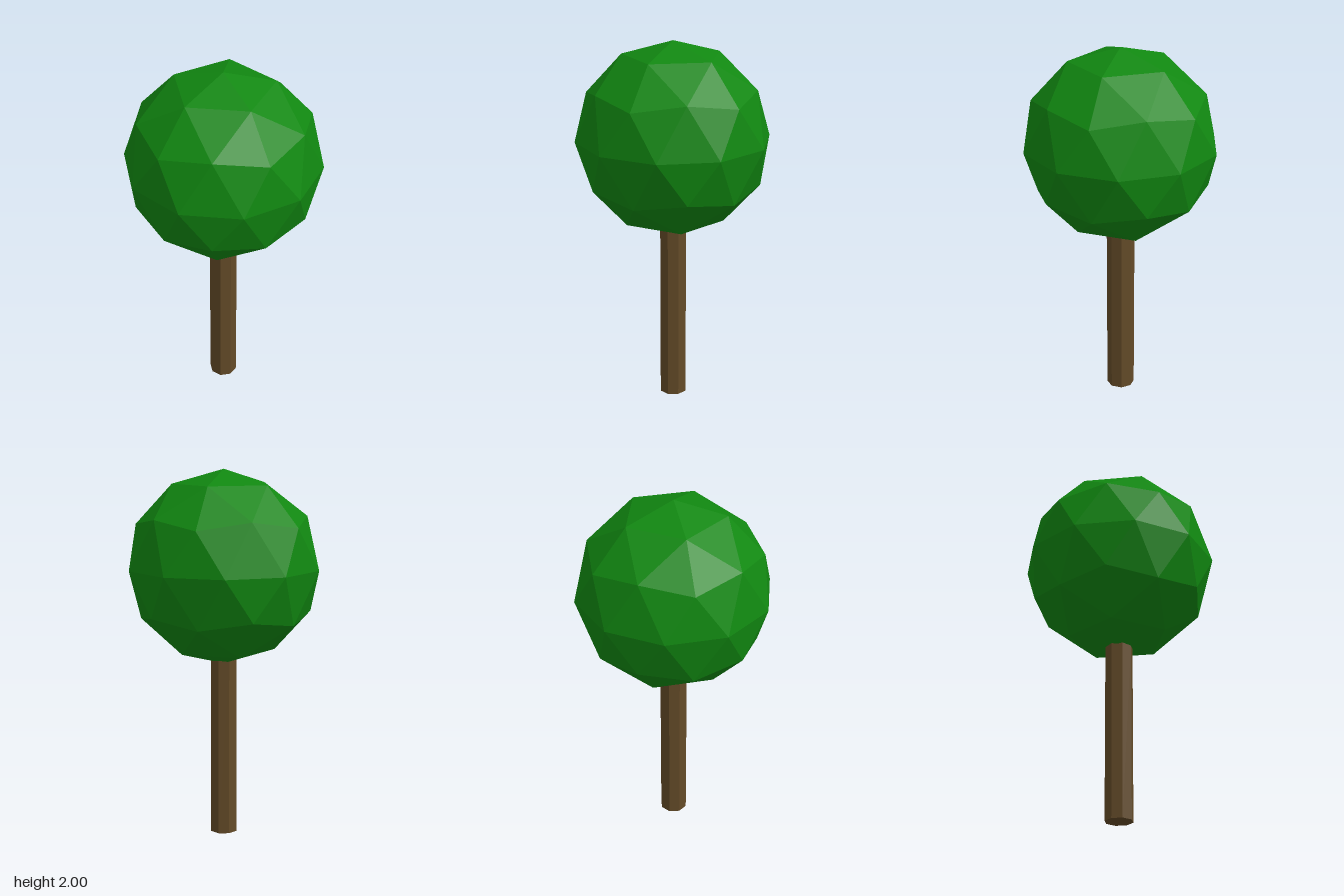
import * as THREE from 'three';

export function createModel() {
  const tree = new THREE.Group();
  tree.name = 'tree';

  const leafGreen = new THREE.MeshStandardMaterial({ color: 0x118811, flatShading: true });
  leafGreen.name = 'leaf green';
  const barkBrown = new THREE.MeshStandardMaterial({ color: 0x644b28, flatShading: true });
  barkBrown.name = 'bark brown';

  // Trunk: octagonal post with a flat side facing the front
  const trunkHeight = 1;
  const trunkGeometry = new THREE.CylinderGeometry(0.076, 0.076, trunkHeight, 8);
  trunkGeometry.rotateY(Math.PI / 8);
  trunkGeometry.translate(0, trunkHeight / 2, 0);
  const trunk = new THREE.Mesh(trunkGeometry, barkBrown);
  trunk.name = 'trunk';
  tree.add(trunk);

  // Foliage: faceted ball, tilted so one corner of the icosahedron points straight up
  const radius = 0.525;
  const goldenRatio = (1 + Math.sqrt(5)) / 2;
  const foliageGeometry = new THREE.IcosahedronGeometry(radius, 1);
  foliageGeometry.rotateZ(-Math.atan(1 / goldenRatio));
  foliageGeometry.translate(0, 2 - radius, 0);
  const foliage = new THREE.Mesh(foliageGeometry, leafGreen);
  foliage.name = 'foliage';
  tree.add(foliage);

  return tree;
}
